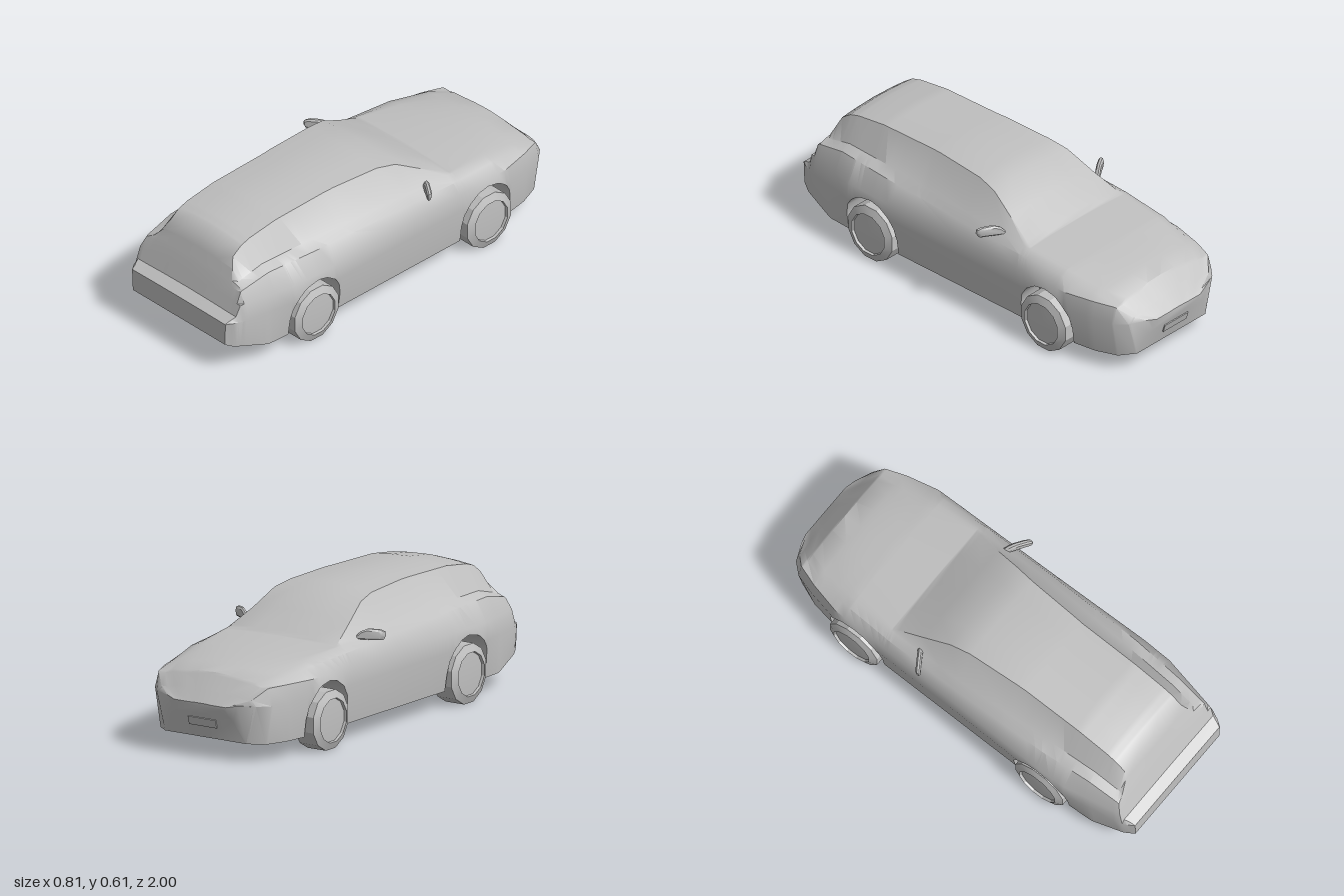
import * as THREE from 'three';
import { toCreasedNormals } from 'three/addons/utils/BufferGeometryUtils.js';

const paint = new THREE.MeshStandardMaterial({ color: 0xc0c0c0 });
paint.name = 'light grey';

// Lengthwise curves: [z, value] keys; the tail is at +z, the nose at -z.
const curves = {
  top: [[-1, 0.25], [-0.955, 0.3], [-0.89, 0.37], [-0.767, 0.396], [-0.607, 0.417], [-0.377, 0.433],
    [-0.23, 0.52], [-0.1, 0.588], [0, 0.604], [0.25, 0.611], [0.6, 0.6], [0.757, 0.577],
    [0.81, 0.56], [0.86, 0.52], [0.91, 0.4], [0.95, 0.29], [1, 0.26]],
  edgeDrop: [[-1, 0.002], [-0.89, 0.012], [-0.377, 0.01], [-0.23, 0.025], [0, 0.018], [0.81, 0.015], [1, 0.002]],
  floor: [[-1, 0.235], [-0.99, 0.2], [-0.955, 0.085], [-0.9, 0.08], [0.78, 0.08], [0.98, 0.137], [1, 0.15]],
  sillX: [[-1, 0.13], [-0.985, 0.17], [-0.955, 0.22], [-0.9, 0.285], [-0.8, 0.325], [-0.65, 0.35],
    [0.6, 0.36], [0.8, 0.352], [0.95, 0.32], [1, 0.295]],
  wideX: [[-1, 0.14], [-0.985, 0.19], [-0.95, 0.27], [-0.9, 0.315], [-0.8, 0.345], [-0.65, 0.375],
    [0, 0.378], [0.5, 0.388], [0.65, 0.387], [0.93, 0.338], [0.97, 0.32], [1, 0.3]],
  upperX: [[-1, 0.13], [-0.95, 0.245], [-0.9, 0.295], [-0.8, 0.33], [-0.65, 0.365], [0, 0.375],
    [0.5, 0.385], [0.65, 0.38], [0.93, 0.322], [1, 0.296]],
  beltX: [[-1, 0.12], [-0.95, 0.21], [-0.9, 0.255], [-0.8, 0.295], [-0.6, 0.33], [-0.35, 0.345],
    [0, 0.345], [0.5, 0.335], [0.9, 0.303], [1, 0.294]],
  beltY: [[-1, 0.248], [-0.95, 0.285], [-0.9, 0.335], [-0.8, 0.36], [-0.6, 0.387], [-0.35, 0.4],
    [0, 0.412], [0.5, 0.43], [0.75, 0.43], [0.91, 0.395], [1, 0.38]],
  glassX: [[-1, 0.1], [-0.95, 0.17], [-0.9, 0.22], [-0.8, 0.255], [-0.6, 0.29], [-0.35, 0.307],
    [0, 0.31], [0.4, 0.288], [0.88, 0.26], [0.95, 0.285], [1, 0.292]],
  glassY: [[-1, 0.249], [-0.89, 0.352], [-0.6, 0.402], [-0.35, 0.425], [0, 0.447], [0.5, 0.455],
    [0.75, 0.45], [0.9, 0.41], [1, 0.39]],
  roofX: [[-1, 0.06], [-0.9, 0.15], [-0.6, 0.255], [-0.37, 0.293], [-0.23, 0.262], [-0.1, 0.235],
    [0, 0.22], [0.3, 0.202], [0.86, 0.2], [0.91, 0.245], [0.95, 0.272], [1, 0.29]],
};

function at(name, z) {
  const k = curves[name];
  for (let i = 1; i < k.length; i++) {
    if (z <= k[i][0]) {
      const t = (z - k[i - 1][0]) / (k[i][0] - k[i - 1][0]);
      return k[i - 1][1] + t * (k[i][1] - k[i - 1][1]);
    }
  }
  return k[k.length - 1][1];
}

const WHEELS = [-0.535, 0.519];
const ARCH = 0.152;

// Half of one body section, from the floor centre up to the roof centre
function section({ z, outside }) {
  const floor = at('floor', z), top = at('top', z);
  const c = WHEELS.find(w => Math.abs(z - w) < ARCH + 1e-6);
  let arch = floor;
  if (c !== undefined && !outside) {
    arch = 0.16 + Math.sqrt(Math.max(0, ARCH * ARCH - (z - c) ** 2));
  }
  const roofY = top - at('edgeDrop', z);
  const glassY = Math.min(at('glassY', z), roofY);
  const beltY = Math.min(at('beltY', z), glassY);
  const upperY = Math.min(0.34, beltY);
  const wideY = Math.min(0.26, upperY);
  const sill = at('sillX', z), wide = at('wideX', z), roof = at('roofX', z);
  const t = Math.min(1, (arch - floor) / Math.max(0.001, wideY - floor));
  const well = Math.min(0.25, sill);
  return [
    [0, floor], [well, floor], [well, arch],
    [sill + (wide - sill) * t, arch],
    [wide, Math.max(wideY, arch)],
    [at('upperX', z), upperY],
    [at('beltX', z), beltY],
    [at('glassX', z), glassY],
    [roof, roofY],
    [roof * 0.55, top - (top - roofY) * 0.35],
    [0, top],
  ].map(([x, y]) => [x, y, z]);
}

function bodyGeometry() {
  // Stations at every curve key, plus the wheel arch outlines
  const zs = new Set(Object.values(curves).flat().map(k => k[0]));
  const stations = [...zs].map(z => ({ z, order: 0 }));
  for (const c of WHEELS) {
    for (let i = 0; i <= 8; i++) stations.push({ z: c + ARCH * Math.cos(Math.PI * i / 8), order: 0 });
    stations.push({ z: c - ARCH, order: -1, outside: true }, { z: c + ARCH, order: 1, outside: true });
  }
  stations.sort((a, b) => (Math.abs(a.z - b.z) < 1e-6 ? a.order - b.order : a.z - b.z));

  const rings = stations.map(s => {
    const half = section(s);
    return [...half, ...half.slice(1, -1).reverse().map(([x, y, z]) => [-x, y, z])];
  });
  const pos = [];
  const tri = (a, b, c) => pos.push(...a, ...b, ...c);
  const n = rings[0].length;
  for (let i = 0; i < rings.length - 1; i++) {
    for (let j = 0; j < n; j++) {
      const k = (j + 1) % n, p = rings[i], q = rings[i + 1];
      tri(p[j], p[k], q[k]);
      tri(p[j], q[k], q[j]);
    }
  }
  // Nose and tail caps
  const nose = rings[0], tail = rings[rings.length - 1];
  for (let j = 1; j < n - 1; j++) {
    tri(nose[0], nose[j + 1], nose[j]);
    tri(tail[0], tail[j], tail[j + 1]);
  }
  const g = new THREE.BufferGeometry();
  g.setAttribute('position', new THREE.Float32BufferAttribute(pos, 3));
  return toCreasedNormals(g, 0.6);
}

// Twelve-sided tyre with chamfered shoulders and a recessed hub
function wheelGeometry() {
  const profile = [[0, -0.06], [0.1, -0.065], [0.138, -0.05], [0.138, 0.05], [0.102, 0.065], [0.1, 0.052], [0, 0.058]]
    .map(([r, h]) => new THREE.Vector2(r, h));
  const g = new THREE.LatheGeometry(profile, 12);
  g.rotateY(Math.PI / 12);
  g.rotateZ(-Math.PI / 2);
  return toCreasedNormals(g, 0.5);
}

// Door mirror swept back towards its tip
function mirrorGeometry(side) {
  const outline = [[0.285, 0.428], [0.395, 0.425], [0.404, 0.445], [0.402, 0.463], [0.385, 0.472], [0.34, 0.476], [0.315, 0.465]];
  const shape = new THREE.Shape(outline.map(([x, y]) => new THREE.Vector2(side * x, y)));
  const g = new THREE.ExtrudeGeometry(shape, {
    depth: 0.012, bevelEnabled: true, bevelThickness: 0.008, bevelSize: 0.008, bevelOffset: -0.008, bevelSegments: 1,
  });
  const p = g.attributes.position;
  for (let i = 0; i < p.count; i++) {
    p.setZ(i, p.getZ(i) - 0.225 + (Math.abs(p.getX(i)) - 0.3) * 0.65);
  }
  return toCreasedNormals(g, 0.6);
}

export function createModel() {
  const car = new THREE.Group();
  car.name = 'estateCar';
  const add = (name, geometry, x = 0, y = 0, z = 0) => {
    const mesh = new THREE.Mesh(geometry, paint);
    mesh.name = name;
    mesh.position.set(x, y, z);
    car.add(mesh);
    return mesh;
  };

  add('body', bodyGeometry());

  for (const side of [1, -1]) {
    const label = side > 0 ? 'left' : 'right';
    WHEELS.forEach((z, i) => {
      const wheel = add(label + (i ? 'RearWheel' : 'NoseWheel'), wheelGeometry(), side * 0.33, 0.1335, z);
      if (side < 0) wheel.rotation.y = Math.PI;
    });
    add(label + 'Mirror', mirrorGeometry(side));
  }

  // Number plate on the nose
  const plate = add('nosePlate', new THREE.BoxGeometry(0.15, 0.04, 0.008), 0, 0.16, -0.979);
  plate.rotation.x = -0.29;
  return car;
}
